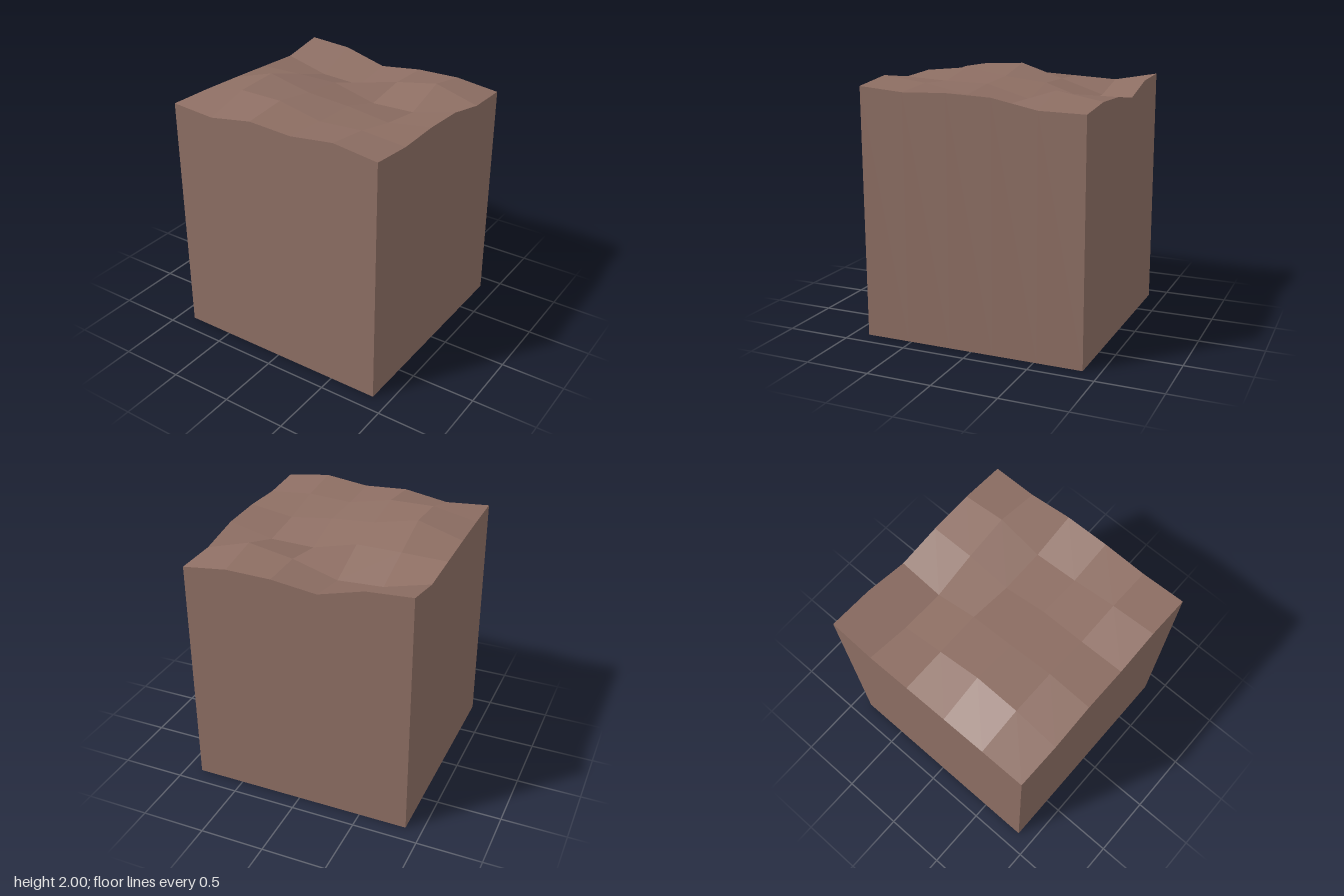
import * as THREE from 'three';

const HALF = 0.873, N = 5;

// Ground heights: rows run from back (-z) to front (+z), columns from -x to +x
const HEIGHTS = [
  [1.92, 1.898, 1.805, 1.849, 1.857, 1.815],
  [1.858, 1.77, 1.753, 1.856, 1.92, 1.822],
  [1.877, 1.885, 1.887, 1.80, 1.81, 1.892],
  [1.895, 2.0, 1.925, 1.90, 1.855, 1.907],
  [1.91, 1.983, 1.98, 1.907, 1.927, 1.896],
  [1.917, 1.89, 1.947, 1.927, 1.97, 1.925],
];

const coord = (i) => -HALF + (2 * HALF * i) / N;
const top = (i, j) => new THREE.Vector3(coord(i), HEIGHTS[j][i], coord(j));
const foot = (i, j) => new THREE.Vector3(coord(i), 0, coord(j));

// Four-cornered faces (counter-clockwise), each with one flat normal, split along b-d
function quadGeometry(quads) {
  const positions = [], normals = [];
  for (const [a, b, c, d] of quads) {
    const n = c.clone().sub(a).cross(d.clone().sub(b)).normalize();
    for (const p of [a, b, d, b, c, d]) {
      positions.push(p.x, p.y, p.z);
      normals.push(n.x, n.y, n.z);
    }
  }
  const g = new THREE.BufferGeometry();
  g.setAttribute('position', new THREE.Float32BufferAttribute(positions, 3));
  g.setAttribute('normal', new THREE.Float32BufferAttribute(normals, 3));
  return g;
}

export function createModel() {
  const group = new THREE.Group();
  group.name = 'earthBlock';
  const earth = new THREE.MeshStandardMaterial({ color: 0x8d6e63, side: THREE.DoubleSide });
  earth.name = 'earthBrown';

  const add = (name, quads) => {
    const mesh = new THREE.Mesh(quadGeometry(quads), earth);
    mesh.name = name;
    group.add(mesh);
  };

  // Uneven ground on top
  const ground = [];
  for (let j = 0; j < N; j++) {
    for (let i = 0; i < N; i++) {
      ground.push([top(i, j), top(i, j + 1), top(i + 1, j + 1), top(i + 1, j)]);
    }
  }
  add('groundSurface', ground);

  // Four walls following the ground's rim; the underside is open
  const walls = {
    frontWall: (s) => [s, N],
    leftWall: (s) => [N, N - s],
    backWall: (s) => [N - s, 0],
    rightWall: (s) => [0, s],
  };
  for (const [name, at] of Object.entries(walls)) {
    const quads = [];
    for (let s = 0; s < N; s++) {
      const p = at(s), q = at(s + 1);
      quads.push([foot(...p), foot(...q), top(...q), top(...p)]);
    }
    add(name, quads);
  }
  return group;
}
